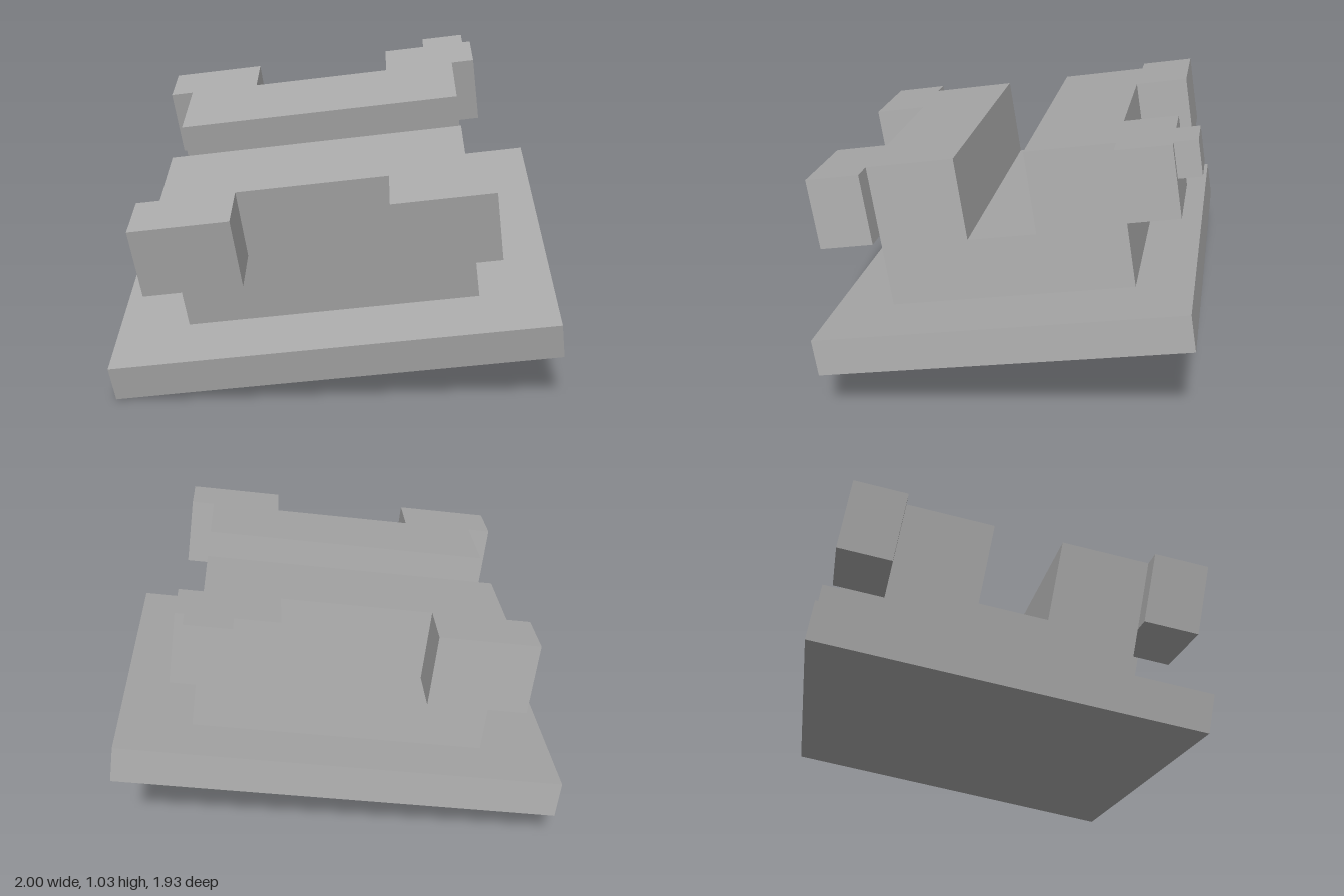
import * as THREE from 'three';

export function createModel() {
  const model = new THREE.Group();
  model.name = 'tiltedBlock';
  const grey = new THREE.MeshStandardMaterial({ color: 0xaaaaaa });
  grey.name = 'plain grey';

  // Everything is built square, then turned and tilted; local y = 0 is the plate's top.
  const tilted = new THREE.Group();
  tilted.name = 'tiltedAssembly';
  tilted.rotation.set(THREE.MathUtils.degToRad(12.45), THREE.MathUtils.degToRad(37), 0);
  tilted.position.set(0, 0.34, 0.015);
  model.add(tilted);

  const add = (name, geometry) => {
    const mesh = new THREE.Mesh(geometry, grey);
    mesh.name = name;
    tilted.add(mesh);
  };
  // Box given by its limits on each axis
  const block = (name, x0, x1, y0, y1, z0, z1) => {
    const g = new THREE.BoxGeometry(x1 - x0, y1 - y0, z1 - z0);
    g.translate((x0 + x1) / 2, (y0 + y1) / 2, (z0 + z1) / 2);
    add(name, g);
  };

  const top = 0.51, half = 0.512, front = 0.42, back = -0.438;

  // Base plate
  block('basePlate', -0.77, 0.77, -0.13, 0, -0.638, 0.638);

  // Body with a channel across its top
  const profile = new THREE.Shape([
    [back, 0], [front, 0], [front, top], [0.113, top],
    [0.113, 0.218], [-0.128, 0.218], [-0.128, top], [back, top],
  ].map(([z, y]) => new THREE.Vector2(z, y)));
  const body = new THREE.ExtrudeGeometry(profile, { depth: 2 * half, bevelEnabled: false });
  body.rotateY(-Math.PI / 2).translate(half, 0, 0);
  add('channelledBody', body);

  // Overhanging corner blocks
  for (const [side, x0, x1] of [['left', 0.256, 0.595], ['right', -0.595, -0.256]]) {
    block(side + 'FrontCorner', x0, x1, 0.26, top, front, 0.608);
    block(side + 'RearCorner', x0, x1, 0.26, top, -0.627, back);
  }

  // Small lug on the left rear corner
  block('rearLug', 0.408, 0.565, 0.386, top, -0.707, -0.627);

  return model;
}
